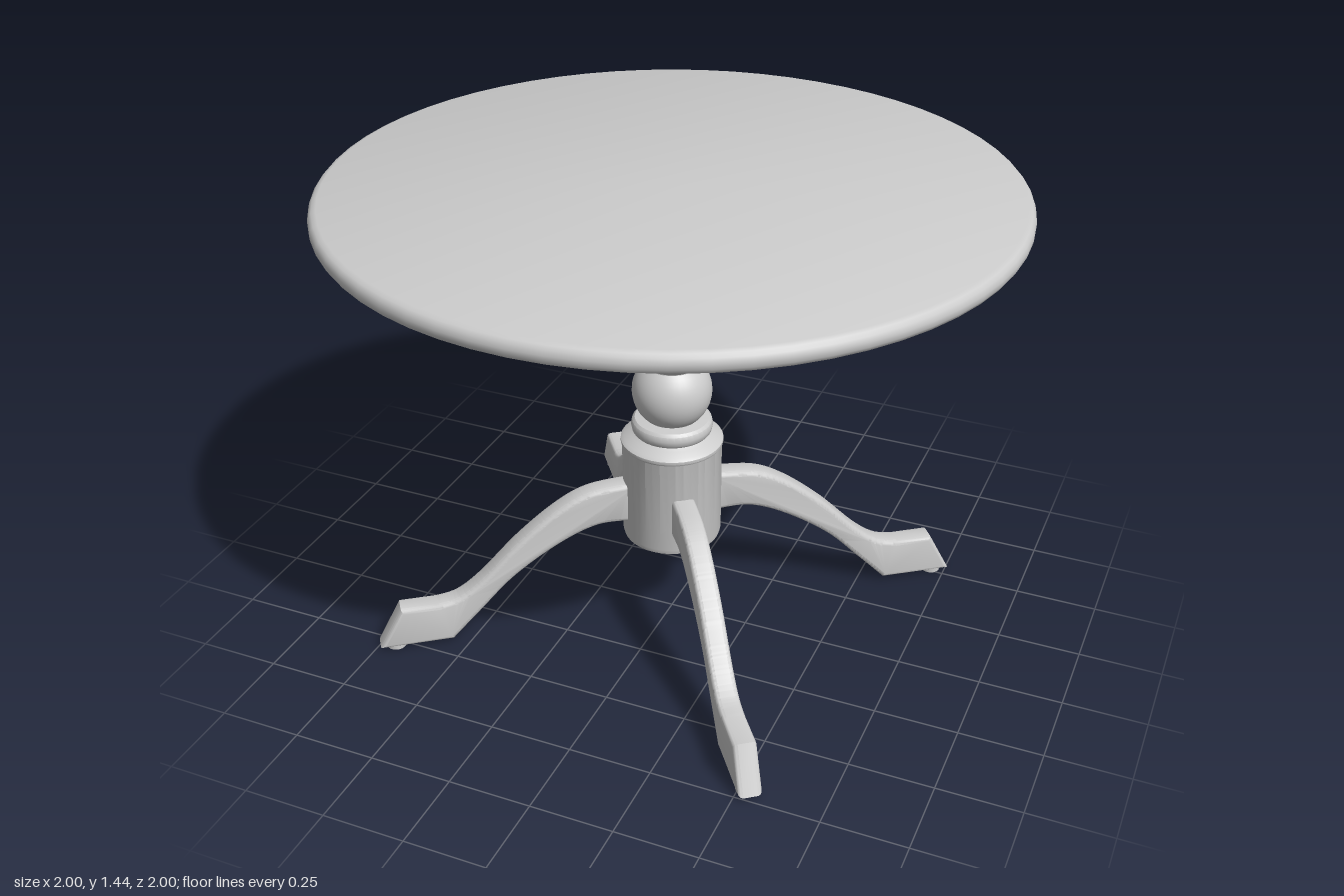
import * as THREE from 'three';
import { toCreasedNormals } from 'three/addons/utils/BufferGeometryUtils.js';

const wood = new THREE.MeshStandardMaterial({ color: 0xcccccc });
wood.name = 'pale grey';

const LEG_ANGLE = THREE.MathUtils.degToRad(53.6);

function addMesh(parent, name, geometry) {
  const mesh = new THREE.Mesh(geometry, wood);
  mesh.name = name;
  parent.add(mesh);
  return mesh;
}

// Solid of revolution from [radius, height] pairs, listed bottom to top
function turned(points, segments) {
  const profile = points.map(([r, y]) => new THREE.Vector2(r, y));
  return toCreasedNormals(new THREE.LatheGeometry(profile, segments), 0.6);
}

// Profile points of a ball bead between its lower and upper necks
function bead(centerY, radius, halfHeight) {
  const limit = Math.asin(halfHeight / radius);
  return Array.from({ length: 13 }, (_, i) => {
    const a = -limit + (2 * limit * i) / 12;
    return [radius * Math.cos(a), centerY + radius * Math.sin(a)];
  });
}

// Side silhouette of a leg: x is the distance from the column axis
function legGeometry() {
  const v = (list) => list.map(([x, y]) => new THREE.Vector2(x, y));
  const shape = new THREE.Shape();
  shape.moveTo(0.13, 0.36);
  shape.splineThru(v([[0.24, 0.36], [0.36, 0.31], [0.5, 0.215], [0.61, 0.105], [0.7, 0.012]]));
  shape.lineTo(0.925, 0.012);
  shape.lineTo(0.855, 0.145);
  shape.lineTo(0.74, 0.145);
  shape.splineThru(v([[0.675, 0.16], [0.6, 0.215], [0.48, 0.335], [0.36, 0.43], [0.26, 0.478], [0.13, 0.492]]));
  shape.closePath();
  const bevel = 0.014;
  const geometry = new THREE.ExtrudeGeometry(shape, {
    depth: 0.07 - 2 * bevel, curveSegments: 24,
    bevelEnabled: true, bevelThickness: bevel, bevelSize: bevel, bevelOffset: -bevel, bevelSegments: 3,
  });
  geometry.translate(0, 0, -0.035 + bevel);
  return toCreasedNormals(geometry, 0.6);
}

export function createModel() {
  const table = new THREE.Group();
  table.name = 'pedestalTable';

  // Round top with a softened rim
  addMesh(table, 'tableTop', turned([
    [0, 1.38], [0.98, 1.38], [0.992, 1.386], [0.999, 1.398], [1, 1.412],
    [0.996, 1.426], [0.988, 1.435], [0.975, 1.44], [0, 1.44],
  ], 64));

  // Mounting plate under the top
  addMesh(table, 'mountingPlate', turned([
    [0, 1.345], [0.3, 1.345], [0.308, 1.352], [0.308, 1.381], [0, 1.381],
  ], 48));

  // Turned column
  addMesh(table, 'column', turned([
    [0, 0.29], [0.135, 0.29], [0.147, 0.297], [0.151, 0.312], [0.151, 0.612],
    [0.155, 0.618], [0.155, 0.627], [0.146, 0.635], [0.125, 0.645], [0.114, 0.652],
    [0.12, 0.66], [0.123, 0.675], [0.12, 0.69], [0.112, 0.698],
    ...bead(0.79, 0.12, 0.088), ...bead(0.968, 0.12, 0.088),
    [0.119, 1.06], [0.12, 1.1], [0.127, 1.115], [0.148, 1.13], [0.149, 1.138],
    [0.139, 1.146], [0.139, 1.152], [0.16, 1.157], [0.165, 1.168], [0.163, 1.182],
    [0.155, 1.192], [0.155, 1.346], [0, 1.346],
  ], 40));

  // Legs, glides and plate bolts share the same four directions
  const leg = legGeometry();
  const glide = new THREE.CylinderGeometry(0.03, 0.03, 0.016, 16);
  const washer = new THREE.CylinderGeometry(0.022, 0.022, 0.008, 12);
  const bolt = new THREE.CylinderGeometry(0.013, 0.011, 0.022, 6);
  for (let i = 0; i < 4; i++) {
    const side = new THREE.Group();
    side.name = `legAssembly${i + 1}`;
    side.rotation.y = -(LEG_ANGLE + (i * Math.PI) / 2);
    addMesh(side, 'leg', leg);
    addMesh(side, 'glide', glide).position.set(0.875, 0.008, 0);
    addMesh(side, 'washer', washer).position.set(0.245, 1.342, 0);
    addMesh(side, 'bolt', bolt).position.set(0.245, 1.334, 0);
    table.add(side);
  }
  return table;
}
